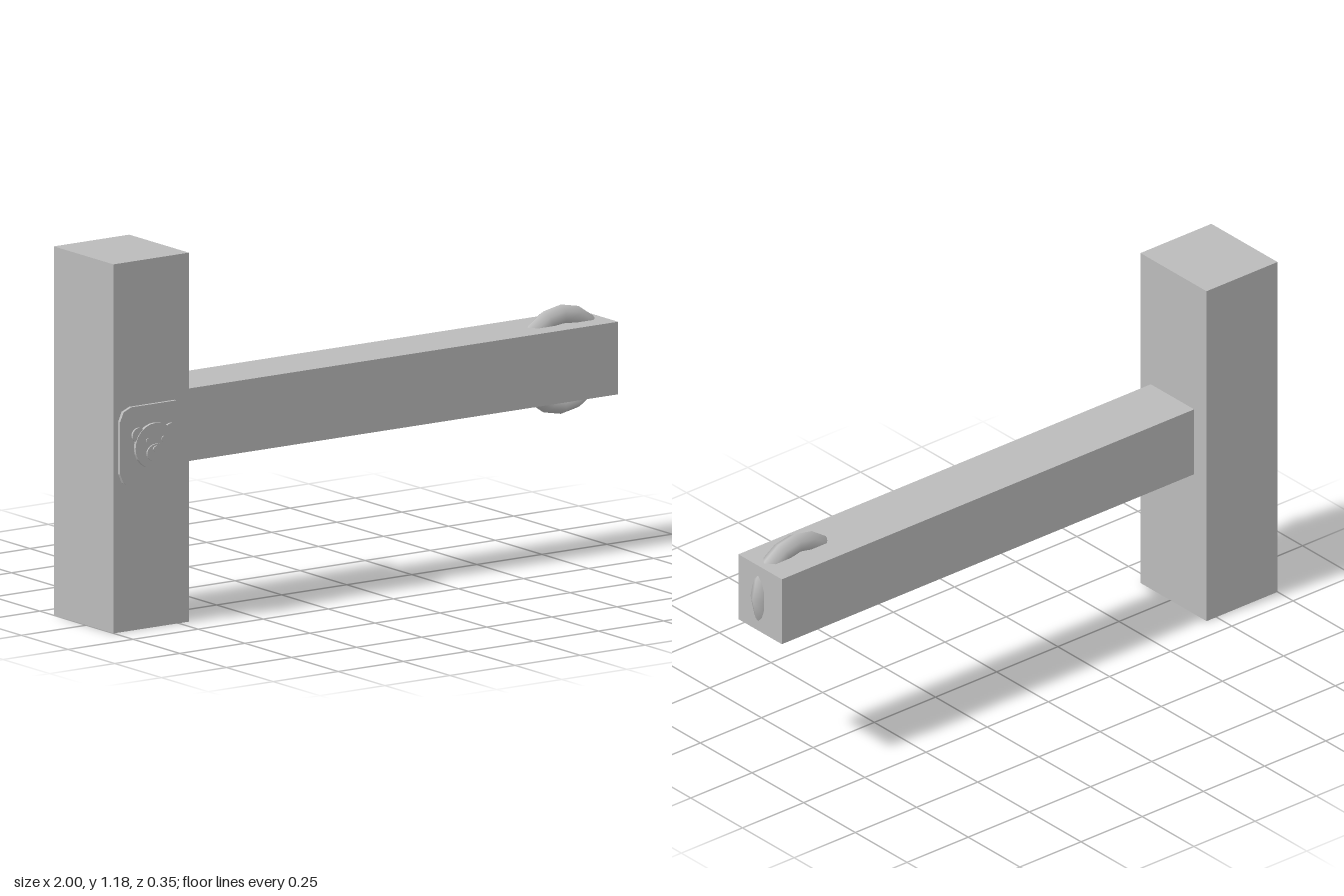
import * as THREE from 'three';

const grey = new THREE.MeshStandardMaterial({ color: 0xbbbbbb });
grey.name = 'plain grey';

function createModel() {
  const model = new THREE.Group();
  const add = (name, geometry, parent = model) => {
    const mesh = new THREE.Mesh(geometry, grey);
    mesh.name = name;
    parent.add(mesh);
    return mesh;
  };
  const box = (name, x0, x1, y0, y1, z0, z1) =>
    add(name, new THREE.BoxGeometry(x1 - x0, y1 - y0, z1 - z0))
      .position.set((x0 + x1) / 2, (y0 + y1) / 2, (z0 + z1) / 2);

  // Upright post and horizontal arm
  box('post', -1, -0.71, 0, 1.18, -0.175, 0.145);
  box('arm', -0.71, 0.975, 0.5, 0.732, -0.115, 0.095);

  // Hexagonal-section ring set through the end of the arm
  add('ring', new THREE.TorusGeometry(0.142, 0.033, 6, 16)).position.set(0.823, 0.615, 0);

  // Plaque with clipped, softened corners
  const badge = new THREE.Group();
  badge.name = 'badge';
  badge.position.set(-0.853, 0.591, 0.143);
  model.add(badge);
  const raise = (name, shape, z, depth) =>
    add(name, new THREE.ExtrudeGeometry(shape, { depth, bevelEnabled: false, curveSegments: 12 }), badge)
      .position.z = z;
  const w = 0.129, h = 0.126, c = 0.042;
  const plate = new THREE.Shape();
  for (const [sx, sy] of [[1, 1], [-1, 1], [-1, -1], [1, -1]]) {
    const side = [sx * w, sy * (h - c)], end = [sx * (w - c), sy * h];
    const knee = [sx * (w - c * 0.3), sy * (h - c * 0.3)];
    const run = sx * sy > 0 ? [side, knee, end] : [end, knee, side];
    run.forEach(([x, y]) => plate.curves.length || plate.currentPoint.x ? plate.lineTo(x, y) : plate.moveTo(x, y));
  }
  plate.closePath();
  raise('plaque', plate, 0, 0.013);

  // Raised bear face: head, ears, eyes, muzzle and nose
  const oval = (x, y, rx, ry) =>
    new THREE.Shape().absellipse(x, y, rx, ry, 0, Math.PI * 2);
  raise('head', oval(0, -0.006, 0.077, 0.073), 0.012, 0.011);
  for (const s of [-1, 1]) {
    raise('ear', oval(s * 0.062, 0.035, 0.024, 0.023), 0.012, 0.008);
    raise('eye', oval(s * 0.03, 0.013, 0.008, 0.009), 0.022, 0.004);
  }
  raise('muzzle', oval(0, -0.027, 0.036, 0.028), 0.022, 0.006);
  raise('nose', oval(0, -0.014, 0.015, 0.01), 0.027, 0.006);

  return model;
}

export { createModel };
